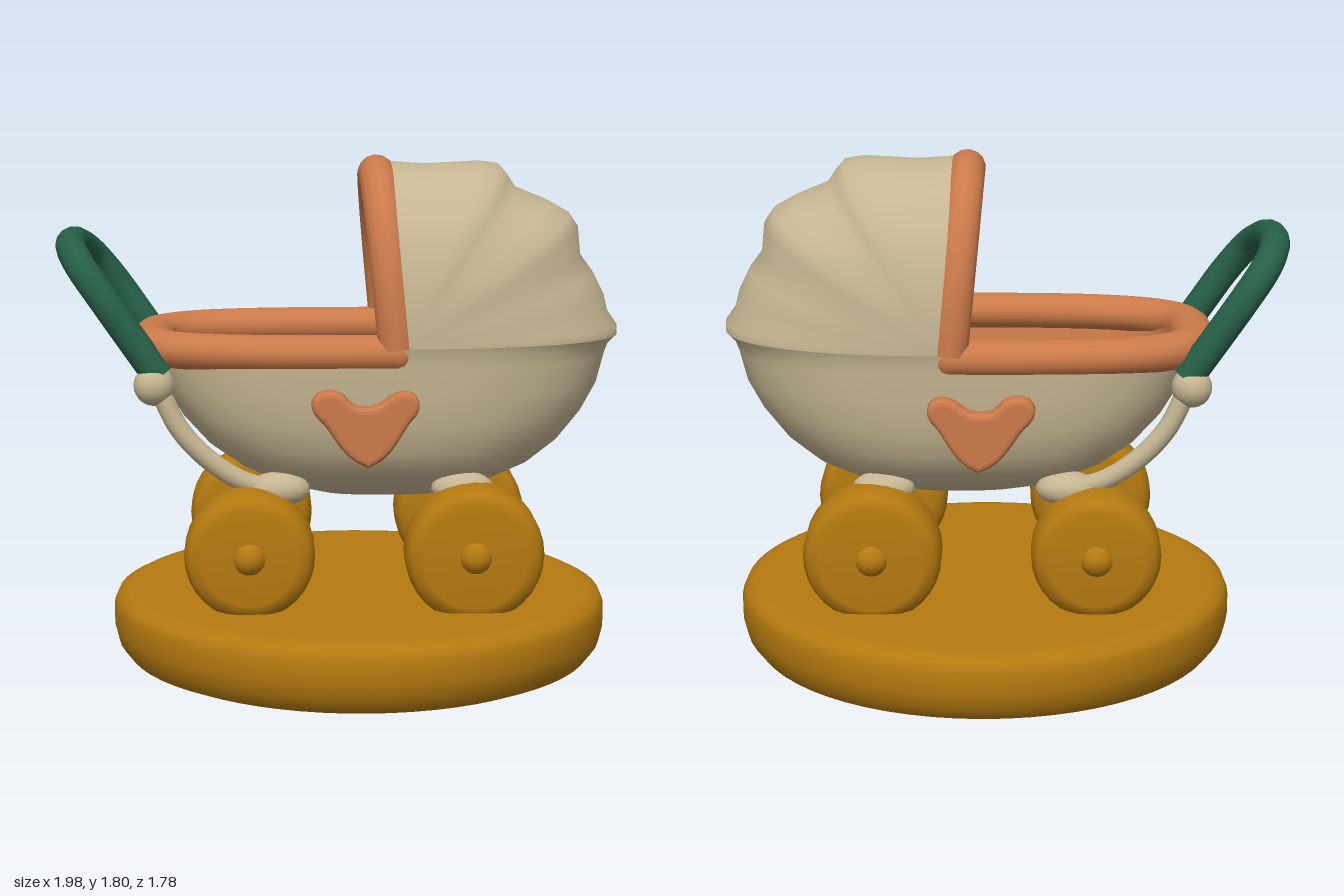
import * as THREE from 'three';

const mat = (name, color, double) => {
  const m = new THREE.MeshStandardMaterial({ color });
  m.name = name;
  if (double) m.side = THREE.DoubleSide;
  return m;
};

// signed power, for superellipse curves
const sp = (v, n) => Math.sign(v) * Math.pow(Math.abs(v), 2 / n);

// skin over a list of equal-length cross-sections
function loft(rings, closed, flip) {
  const n = rings[0].length, index = [];
  for (let i = 0; i < rings.length - 1; i++) {
    for (let j = 0; j < (closed ? n : n - 1); j++) {
      const k = (j + 1) % n;
      const a = i * n + j, b = i * n + k, c = a + n, d = b + n;
      if (flip) index.push(a, c, b, b, c, d);
      else index.push(a, b, c, b, d, c);
    }
  }
  const g = new THREE.BufferGeometry().setFromPoints(rings.flat());
  g.setIndex(index);
  g.computeVertexNormals();
  return g;
}

const PIVOT_X = 0.2, PIVOT_Y = 1.17;

// egg-shaped plan outline: blunt at the foot end, rounder under the hood
function planRing([y, xMin, xMax, w], n = 64) {
  return Array.from({ length: n }, (_, j) => {
    const t = (j / n) * Math.PI * 2, c = Math.cos(t);
    const e = c > 0 ? 2.3 : 3.3;
    const r = c > 0 ? xMax - PIVOT_X : PIVOT_X - xMin;
    return new THREE.Vector3(PIVOT_X + sp(c, e) * r, y, sp(Math.sin(t), e) * w);
  });
}

// hood arch from one side, over the crown point (x, y), to the other side
function archRing(x, y, w, n = 40) {
  return Array.from({ length: n + 1 }, (_, j) => {
    const t = (j / n) * Math.PI, s = sp(Math.sin(t), 2.3);
    return new THREE.Vector3(PIVOT_X + (x - PIVOT_X) * s, PIVOT_Y + (y - PIVOT_Y) * s, w * sp(Math.cos(t), 2.3));
  });
}

const tube = (pts, r, seg = 64) =>
  new THREE.TubeGeometry(new THREE.CatmullRomCurve3(pts), seg, r, 14, false);

function wheelGeometry(R) {
  const p = [[0, -0.11], [R - 0.06, -0.11], [R - 0.02, -0.095], [R, -0.055], [R, 0.055], [R - 0.02, 0.095], [R - 0.06, 0.11], [0, 0.11]];
  return new THREE.LatheGeometry(p.map(q => new THREE.Vector2(...q)), 32).rotateX(Math.PI / 2);
}

function heartGeometry() {
  const s = new THREE.Shape();
  s.moveTo(0.085, 0.79);
  s.bezierCurveTo(0.0, 0.82, -0.02, 0.91, -0.07, 0.95);
  s.bezierCurveTo(-0.12, 1.0, -0.05, 1.03, -0.01, 1.0);
  s.quadraticCurveTo(0.03, 0.95, 0.075, 0.955);
  s.quadraticCurveTo(0.12, 0.95, 0.17, 0.995);
  s.bezierCurveTo(0.22, 1.03, 0.27, 0.99, 0.215, 0.94);
  s.bezierCurveTo(0.18, 0.9, 0.16, 0.82, 0.085, 0.79);
  return new THREE.ExtrudeGeometry(s, { depth: 0.06, bevelThickness: 0.02, bevelSize: 0.02, bevelSegments: 3, curveSegments: 8 });
}

export function createModel() {
  const ochre = mat('ochre', 0xb57a10);
  const cream = mat('cream', 0xc5b592, true);
  const copper = mat('copper', 0xcb7a4a, true);
  const green = mat('green', 0x265f46);
  const red = mat('dark red', 0x7c0c10);

  const model = new THREE.Group();
  const add = (name, geo, material, x = 0, y = 0, z = 0) => {
    const m = new THREE.Mesh(geo, material);
    m.name = name;
    m.position.set(x, y, z);
    model.add(m);
    return m;
  };

  // round base
  const baseProfile = [[0, 0], [0.78, 0], [0.84, 0.025], [0.875, 0.07], [0.89, 0.13], [0.89, 0.2], [0.875, 0.235], [0.84, 0.253], [0.8, 0.255], [0, 0.255]];
  add('base', new THREE.LatheGeometry(baseProfile.map(q => new THREE.Vector2(...q)), 64), ochre, 0.07).scale.x = 0.99;

  // wheels, hubs, axles and body mounts
  for (const [x, R, mountX] of [[-0.32, 0.225, -0.22], [0.455, 0.24, 0.42]]) {
    add('axle', new THREE.CylinderGeometry(0.05, 0.05, 0.6, 16).rotateX(Math.PI / 2), cream, x, 0.45, 0);
    for (const s of [1, -1]) {
      add('wheel', wheelGeometry(R), ochre, x, 0.45, s * 0.36);
      add('hub', new THREE.SphereGeometry(0.06, 16, 12), ochre, x, 0.45, s * 0.445);
      add('mount', new THREE.SphereGeometry(0.1, 16, 12), cream, mountX, 0.66, s * 0.29).scale.set(1.1, 0.6, 0.7);
    }
  }

  // body shell
  const levels = [
    [1.17, -0.66, 0.985, 0.445], [1.14, -0.66, 0.955, 0.437], [1.1, -0.655, 0.94, 0.435], [1.0, -0.62, 0.915, 0.43],
    [0.9, -0.56, 0.86, 0.42], [0.8, -0.47, 0.78, 0.395], [0.72, -0.36, 0.68, 0.345], [0.65, -0.22, 0.53, 0.26],
    [0.61, -0.08, 0.4, 0.16], [0.6, 0.2, 0.2, 0],
  ];
  add('body', loft(levels.map(l => planRing(l)), true), cream);

  // lining and floor of the well
  const floor = [0.92, -0.55, 0.8, 0.335];
  add('innerWall', loft([planRing([1.17, -0.59, 0.93, 0.39]), planRing(floor)], true, true), copper);
  add('floor', loft([planRing(floor), planRing([0.92, 0.2, 0.2, 0])], true, true), red);

  // pleated hood: crown points fanning from the front arch to the back
  const crown = [
    [0.15, 1.775], [0.3, 1.765], [0.5, 1.775], [0.56, 1.765], [0.59, 1.73], [0.62, 1.685], [0.73, 1.64], [0.81, 1.595],
    [0.84, 1.55], [0.85, 1.45], [0.895, 1.39], [0.935, 1.31], [0.95, 1.25], [0.985, 1.2], [0.985, 1.17],
  ];
  add('hood', loft(crown.map(([x, y]) => archRing(x, y, 0.445)), false, true), cream);
  const k = 0.93;
  add('hoodLining', loft(crown.map(([x, y]) =>
    archRing(PIVOT_X + (x - PIVOT_X) * k, PIVOT_Y + (y - PIVOT_Y) * k, 0.39)), false), copper);

  // padded hood edge
  const arch = archRing(0.145, 1.737, 0.395, 28);
  arch.forEach(p => { p.x -= 0.015; p.y -= 0.005; });
  add('hoodTrim', tube(arch, 0.065), copper);

  // padded rim around the opening
  const rim = Array.from({ length: 33 }, (_, i) => {
    const t = Math.PI / 2 + (i / 32) * Math.PI;
    return new THREE.Vector3(0.19 + 0.855 * sp(Math.cos(t), 3.3), 0, 0.375 * sp(Math.sin(t), 3.3));
  });
  add('rim', tube(rim, 0.078, 80).scale(1, 0.83, 1), copper, 0, 1.145, 0);

  // push handle
  const side = [[-0.63, 1.06, 0.31], [-0.72, 1.19, 0.31], [-0.81, 1.32, 0.305], [-0.885, 1.42, 0.26], [-0.93, 1.475, 0.15]];
  const v = (q, s) => new THREE.Vector3(q[0], q[1], q[2] * s);
  add('handle', tube([...side.map(q => v(q, 1)), new THREE.Vector3(-0.945, 1.49, 0), ...side.slice().reverse().map(q => v(q, -1))], 0.053), green);

  for (const s of [1, -1]) {
    // handle knobs, curved straps and hearts on both sides
    add('handleKnob', new THREE.SphereGeometry(0.07, 20, 14), cream, -0.645, 1.03, s * 0.315);
    const strap = [[-0.62, 1.0, 0.32], [-0.56, 0.88, 0.32], [-0.46, 0.77, 0.315], [-0.34, 0.69, 0.3], [-0.2, 0.65, 0.28]];
    add('strap', tube(strap.map(q => v(q, s)), 0.035, 24), cream);
    add('rimEnd', new THREE.SphereGeometry(0.065, 16, 12), copper, 0.185, 1.145, s * 0.385);
    add('heart', heartGeometry(), copper, 0, 0, s > 0 ? 0.41 : -0.47);
  }
  return model;
}
